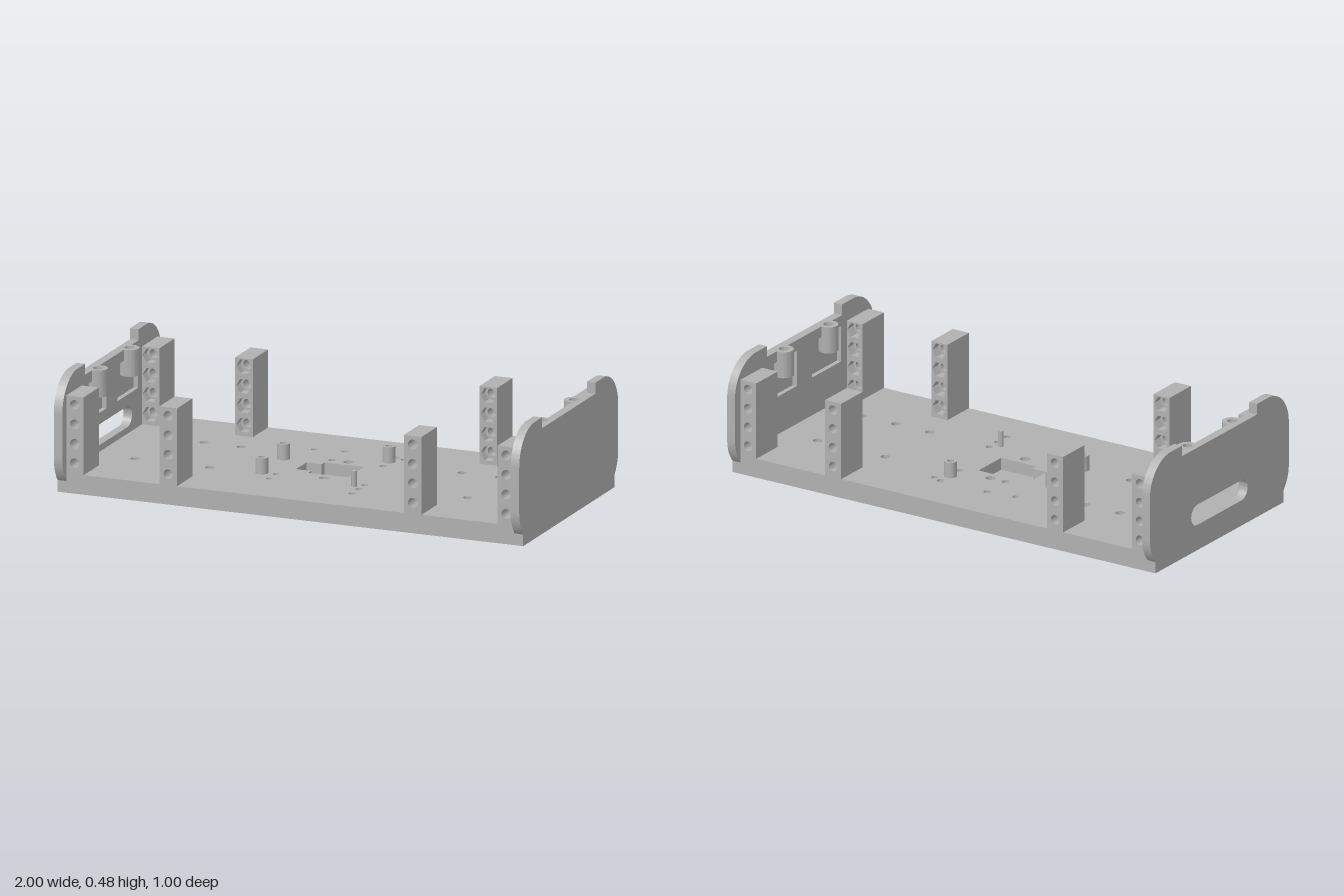
import * as THREE from 'three';
import { toCreasedNormals } from 'three/addons/utils/BufferGeometryUtils.js';

const grey = new THREE.MeshStandardMaterial({ color: 0xb0b0b0 });
grey.name = 'grey plastic';

function poly(points) {
  return new THREE.Shape(points.map(([a, b]) => new THREE.Vector2(a, b)));
}
function circle(a, b, r, sides = 20) {
  const p = [];
  for (let i = 0; i < sides; i++) {
    const t = (i / sides) * Math.PI * 2;
    p.push([a + r * Math.cos(t), b + r * Math.sin(t)]);
  }
  return poly(p);
}
function extrude(shape, depth) {
  const g = new THREE.ExtrudeGeometry(shape, { depth, bevelEnabled: false, curveSegments: 14 });
  return toCreasedNormals(g, 0.5);
}
function add(parent, name, geometry) {
  const m = new THREE.Mesh(geometry, grey);
  m.name = name;
  parent.add(m);
  return m;
}
// Upright tube, open through the middle
function tube(r, hole, y0, y1) {
  const pts = [[hole, y0], [r, y0], [r, y1], [hole, y1], [hole, y0]];
  const g = new THREE.LatheGeometry(pts.map(([a, b]) => new THREE.Vector2(a, b)), 24);
  return toCreasedNormals(g, 0.5);
}

// Base plate: a solid lower layer and an upper layer with the recess cut out
const posts = [[0.145, -0.193], [-0.255, -0.07], [-0.255, 0.15]];
function baseHoles() {
  const list = [];
  for (const x of [0.475, 0.635, 0.795])
    for (const s of [-1, 1]) for (const z of [-0.16, 0.16]) list.push([s * x, z, 0.019]);
  list.push([0, -0.125, 0.02], [0, 0.122, 0.02]);
  for (const [x, z] of [[-0.07, -0.256], [0.15, -0.256], [-0.07, -0.125], [0.15, -0.125]])
    list.push([x, z, 0.015]);
  for (const [x, z] of [[-0.195, -0.24], [0.19, -0.24], [-0.195, 0.145], [-0.195, 0.215],
    [0.19, 0.155], [0.19, 0.215], [0.19, 0.285]]) list.push([x, z, 0.014]);
  for (const [x, z] of posts) list.push([x, z, 0.014]);
  return list.map(([x, z, r]) => circle(x, z, r));
}
function baseLayer(y0, y1, extraHoles) {
  const s = poly([[-1, -0.46], [1, -0.46], [1, 0.46], [-1, 0.46]]);
  s.holes.push(...baseHoles(), ...extraHoles);
  return extrude(s, y1 - y0).rotateX(Math.PI / 2).translate(0, y1, 0);
}

// End panel outline in (z, y); the inner layer has pockets opening around the bosses
function panelShape(withPockets, withSlot) {
  const s = new THREE.Shape();
  const a = Math.atan2(0.048 - 0.15, 0.11);
  s.moveTo(-0.46, 0.048);
  s.lineTo(0.46, 0.048);
  s.absarc(0.35, 0.15, 0.15, a, 0, false);
  s.absarc(0.35, 0.33, 0.15, 0, Math.PI / 2, false);
  s.lineTo(0.27, 0.48);
  s.lineTo(0.27, 0.435);
  if (withPockets) {
    const pocket = [[0.18, 0.435], [0.18, 0.39], [0.265, 0.39], [0.265, 0.24],
      [0.055, 0.24], [0.055, 0.39], [0.14, 0.39], [0.14, 0.435]];
    pocket.forEach(([z, y]) => s.lineTo(z, y));
    [...pocket].reverse().forEach(([z, y]) => s.lineTo(-z, y));
  }
  s.lineTo(-0.27, 0.435);
  s.lineTo(-0.27, 0.48);
  s.lineTo(-0.35, 0.48);
  s.absarc(-0.35, 0.33, 0.15, Math.PI / 2, Math.PI, false);
  s.absarc(-0.35, 0.15, 0.15, Math.PI, Math.PI - a, false);
  if (withSlot) {
    const h = new THREE.Path();
    h.absarc(0.16, 0.15, 0.043, -Math.PI / 2, Math.PI / 2, false);
    h.absarc(-0.16, 0.15, 0.043, Math.PI / 2, Math.PI * 1.5, false);
    h.closePath();
    s.holes.push(h);
  }
  return s;
}
function panelLayer(x0, x1, withPockets, withSlot) {
  return extrude(panelShape(withPockets, withSlot), x1 - x0)
    .rotateY(-Math.PI / 2).translate(x1, 0, 0);
}

// Pillar slice with four holes; six sides give the nut traps
function pillarSlice(x, z0, z1, r, sides) {
  const s = poly([[x - 0.038, 0.078], [x + 0.038, 0.078], [x + 0.038, 0.4], [x - 0.038, 0.4]]);
  for (let i = 0; i < 4; i++) s.holes.push(circle(x, 0.125 + i * 0.08, r, sides));
  return extrude(s, z1 - z0).translate(0, 0, z0);
}

export function createModel() {
  const model = new THREE.Group();
  model.name = 'equipmentTray';

  const base = new THREE.Group();
  base.name = 'basePlate';
  model.add(base);
  const recess = poly([[-0.085, -0.083], [0.085, -0.083], [0.085, 0.08], [-0.085, 0.08],
    [-0.085, 0.05], [-0.15, 0.05], [-0.15, -0.053], [-0.085, -0.053]]);
  add(base, 'baseLowerLayer', baseLayer(0, 0.03, []));
  add(base, 'baseUpperLayer', baseLayer(0.03, 0.08, [recess]));

  // Board posts and locating pin
  for (const [x, z] of posts)
    add(model, 'boardPost', tube(0.026, 0.014, 0.079, 0.145)).position.set(x, 0, z);
  add(model, 'locatingPin', new THREE.CylinderGeometry(0.011, 0.011, 0.066, 16))
    .position.set(0.157, 0.112, 0.187);

  for (const side of [-1, 1]) {
    // End panels; only the right one has a cable slot
    const panel = new THREE.Group();
    panel.name = side < 0 ? 'rightEndPanel' : 'leftEndPanel';
    model.add(panel);
    const slot = side < 0;
    const [o0, o1, i0, i1] = slot ? [-1, -0.983, -0.983, -0.963] : [0.983, 1, 0.963, 0.983];
    add(panel, 'panelOuterLayer', panelLayer(o0, o1, false, slot));
    add(panel, 'panelInnerLayer', panelLayer(i0, i1, true, slot));
    for (const z of [-0.16, 0.16])
      add(panel, 'screwBoss', tube(0.04, 0.02, 0.325, 0.435)).position.set(side * 0.955, 0, z);

    // Pillars with nut traps facing inward
    for (const x of [0.525, 0.927])
      for (const front of [-1, 1]) {
        const pillar = new THREE.Group();
        pillar.name = front > 0 ? 'frontPillar' : 'backPillar';
        model.add(pillar);
        const [a, b] = front > 0 ? [0.345, 0.46] : [-0.46, -0.345];
        const [c, d] = front > 0 ? [0.305, 0.345] : [-0.345, -0.305];
        add(pillar, 'pillarBody', pillarSlice(side * x, a, b, 0.02, 20));
        add(pillar, 'pillarNutTraps', pillarSlice(side * x, c, d, 0.033, 6));
      }
  }
  return model;
}
